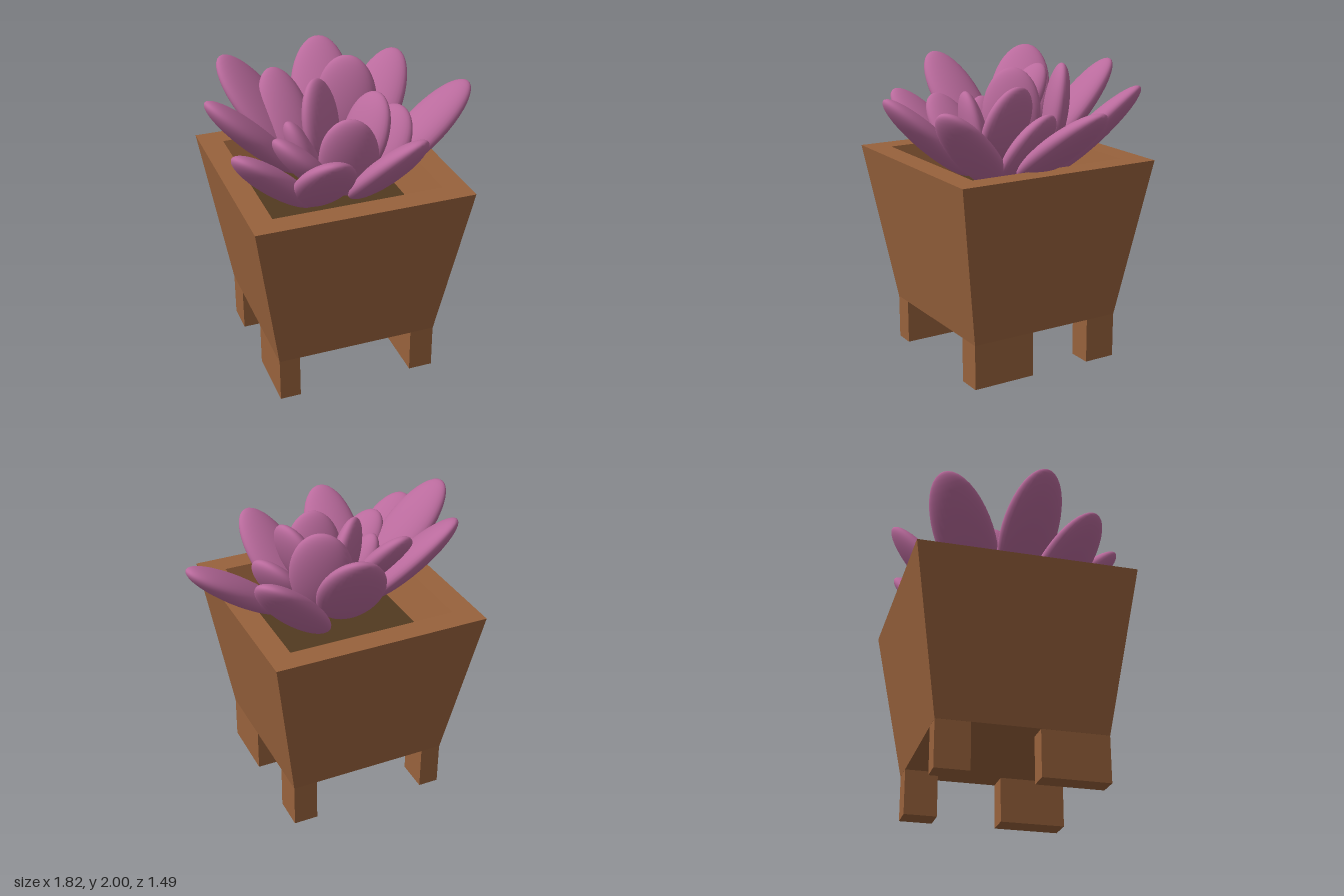
import * as THREE from 'three';

const mat = (name, color) => {
  const m = new THREE.MeshStandardMaterial({ color });
  m.name = name;
  return m;
};

export function createModel() {
  const model = new THREE.Group();
  model.name = 'pottedSucculent';
  const wood = mat('wood brown', 0x98623c);
  const earth = mat('soil brown', 0x523a20);
  const petal = mat('leaf purple', 0xb96a9c);
  const add = (parent, name, geometry, material, x = 0, y = 0, z = 0) => {
    const mesh = new THREE.Mesh(geometry, material);
    mesh.name = name;
    mesh.position.set(x, y, z);
    parent.add(mesh);
    return mesh;
  };

  // Square tapered pot: half-width and height from base, over the rim, to the soil
  const CX = -0.1, CZ = -0.015;
  const profile = [[0, 0.3], [0.5375, 0.3], [0.7075, 1.375], [0.555, 1.375], [0.478, 1.12]]
    .map(([w, y]) => new THREE.Vector2(w * Math.SQRT2, y));
  const potGeo = new THREE.LatheGeometry(profile, 4, Math.PI / 4).toNonIndexed();
  potGeo.computeVertexNormals();
  add(model, 'pot', potGeo, wood, CX, 0, CZ);

  // Soil
  add(model, 'soil', new THREE.BoxGeometry(0.956, 0.01, 0.956), earth, CX, 1.12, CZ);

  // Legs: front pair is deeper than the back pair
  const legs = new THREE.Group();
  legs.name = 'legs';
  model.add(legs);
  for (const [sideName, x0, x1] of [['Right', -0.637, -0.5], ['Left', 0.275, 0.437]]) {
    for (const [endName, z0, z1] of [['front', 0.09, 0.522], ['back', -0.552, -0.335]]) {
      add(legs, endName + sideName + 'Leg', new THREE.BoxGeometry(x1 - x0, 0.3, z1 - z0), wood,
        (x0 + x1) / 2, 0.15, (z0 + z1) / 2);
    }
  }

  // Leaves: centre x, y, z, heading (degrees, x towards z), tilt from upright, half width, half length
  const outer = [
    [-0.30, 1.485, 0.445, 95, 47, 0.19, 0.40],
    [0.15, 1.465, 0.365, 65, 45, 0.19, 0.40],
    [0.57, 1.53, -0.015, -12, 54, 0.18, 0.42],
    [0.355, 1.55, -0.395, -40, 45, 0.20, 0.44],
    [0.015, 1.635, -0.475, -75, 39, 0.21, 0.43],
    [-0.445, 1.685, -0.35, 222, 42, 0.21, 0.42],
    [-0.615, 1.67, 0.04, 172, 45, 0.19, 0.41],
    [-0.56, 1.47, 0.28, 150, 48, 0.19, 0.40],
  ];
  const inner = [
    [-0.30, 1.645, -0.26, 258, 38, 0.165, 0.33],
    [-0.34, 1.51, 0.22, 165, 42, 0.17, 0.30],
    [-0.27, 1.48, 0.0, 180, 25, 0.13, 0.26],
    [0.26, 1.47, 0.025, -25, 35, 0.20, 0.28],
    [0.11, 1.60, 0.09, -15, 22, 0.20, 0.28],
    [-0.055, 1.52, 0.23, 105, 12, 0.19, 0.30],
    [-0.125, 1.63, -0.09, 225, 10, 0.20, 0.30],
    [0.12, 1.68, -0.28, -63, 8, 0.20, 0.30],
  ];
  const leafGeo = new THREE.SphereGeometry(1, 32, 20);
  const rad = THREE.MathUtils.degToRad;
  const addLeaves = (name, list, thickness) => {
    const group = new THREE.Group();
    group.name = name;
    model.add(group);
    list.forEach(([x, y, z, heading, tilt, w, l], i) => {
      const leaf = add(group, 'leaf' + (i + 1), leafGeo, petal, x, y, z);
      leaf.rotation.set(0, -rad(heading), -rad(tilt), 'YXZ');
      leaf.scale.set(thickness, l, w);
    });
  };
  addLeaves('outerLeaves', outer, 0.085);
  addLeaves('innerLeaves', inner, 0.08);

  return model;
}
